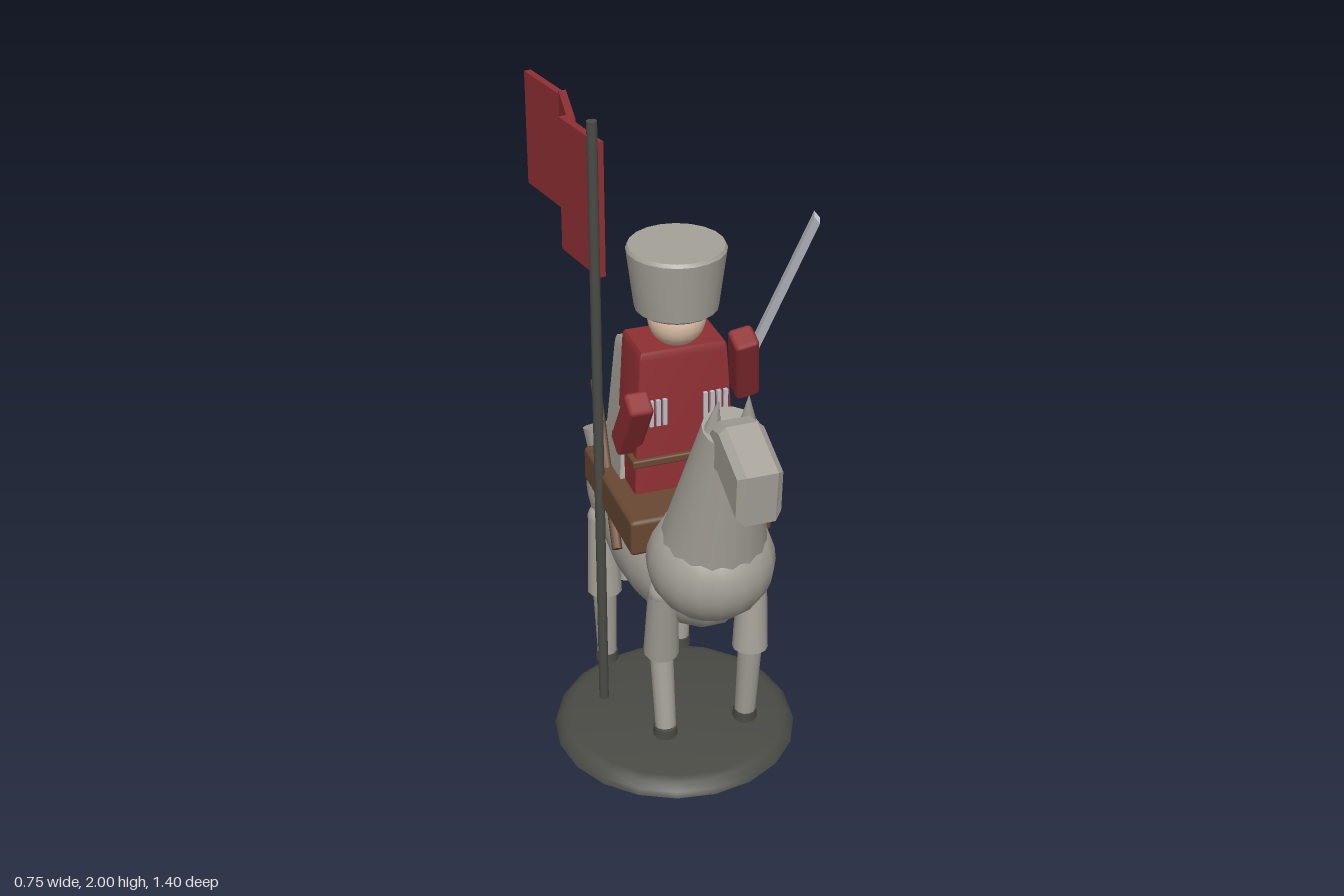
import * as THREE from 'three';
import { toCreasedNormals } from 'three/addons/utils/BufferGeometryUtils.js';
import { RoundedBoxGeometry } from 'three/addons/geometries/RoundedBoxGeometry.js';

const paint = (name, color) => {
  const m = new THREE.MeshStandardMaterial({ color });
  m.name = name;
  return m;
};
const V = (x, y, z) => new THREE.Vector3(x, y, z);
const UP = V(0, 1, 0);

export function createModel() {
  const model = new THREE.Group();
  model.name = 'mountedSoldier';
  const grey = paint('stoneGrey', 0xa5a198);
  const red = paint('coatRed', 0x8f2f33);
  const brown = paint('leatherBrown', 0x684832);
  const dark = paint('darkIron', 0x4a4b45);
  const silver = paint('silver', 0xb9bec6);
  const skin = paint('skin', 0xe3c4ab);

  const add = (name, geo, mat, x = 0, y = 0, z = 0) => {
    const mesh = new THREE.Mesh(geo, mat);
    mesh.name = name;
    mesh.position.set(x, y, z);
    model.add(mesh);
    return mesh;
  };
  // lay a mesh whose length runs along y between two points
  const span = (name, a, b, mat, makeGeo) => {
    const dir = b.clone().sub(a);
    const mesh = add(name, makeGeo(dir.length()), mat);
    mesh.position.copy(a).lerp(b, 0.5);
    mesh.quaternion.setFromUnitVectors(UP, dir.normalize());
    return mesh;
  };
  // tapered rod: radius ra at point a, rb at point b
  const rod = (name, a, b, ra, rb, mat, sides = 12) =>
    span(name, a, b, mat, (h) => new THREE.CylinderGeometry(rb, ra, h, sides));
  const ball = (name, mat, x, y, z, rx, ry, rz) => {
    const mesh = add(name, new THREE.SphereGeometry(1, 18, 14), mat, x, y, z);
    mesh.scale.set(rx, ry, rz);
    return mesh;
  };
  const bevelBox = (w, h, d, r = 0.01) => new RoundedBoxGeometry(w, h, d, 1, r);
  // bevelled box of unit width and depth, shaped by height t (0 bottom, 1 top)
  const taperBox = (h, shape) => {
    const geo = bevelBox(1, h, 1, 0.025);
    const p = geo.attributes.position;
    for (let i = 0; i < p.count; i++) {
      const { halfX, back, front, lift = 0 } = shape(p.getY(i) / h + 0.5);
      const k = p.getZ(i) + 0.5;
      p.setXYZ(i, p.getX(i) * 2 * halfX, p.getY(i) + lift * k, back + (front - back) * k);
    }
    return toCreasedNormals(geo, 0.5);
  };
  const mix = THREE.MathUtils.lerp;

  // base and pole
  const baseProfile = [[0, 0], [0.373, 0], [0.366, 0.018], [0.345, 0.036], [0.32, 0.042], [0, 0.042]];
  const base = new THREE.LatheGeometry(baseProfile.map(([r, y]) => new THREE.Vector2(r, y)), 20);
  add('base', toCreasedNormals(base, 0.7), dark, 0, 0, 0.025);
  rod('pole', V(-0.215, 0.115, -0.02), V(-0.215, 2, -0.02), 0.015, 0.015, dark);

  // flag of three folded panels: [x, z] at both ends, then bottom and top
  [
    [-0.185, -0.05, -0.225, -0.267, 1.53, 1.925],
    [-0.2, -0.26, -0.161, -0.483, 1.542, 1.915],
    [-0.161, -0.48, -0.203, -0.698, 1.555, 1.905],
  ].forEach(([xa, za, xb, zb, lo, hi]) => {
    const length = Math.hypot(xb - xa, zb - za);
    const panel = add('flagPanel', new THREE.BoxGeometry(0.022, hi - lo, length), red,
      (xa + xb) / 2, (lo + hi) / 2, (za + zb) / 2);
    panel.rotation.y = Math.atan2(xa - xb, za - zb);
  });

  // horse body and neck
  ball('barrel', grey, 0, 0.685, 0, 0.19, 0.19, 0.42);
  ball('chest', grey, 0, 0.805, 0.33, 0.182, 0.175, 0.187);
  ball('rump', grey, 0, 0.68, -0.29, 0.167, 0.182, 0.187);
  rod('neck', V(0, 0.77, 0.318), V(0, 1.304, 0.473), 0.17, 0.079, grey, 16);
  rod('mane', V(0, 0.95, 0.23), V(0, 1.16, 0.325), 0.03, 0.012, grey, 6);

  // horse head, a bevelled side profile given as z, y
  const profile = [[0.43, 1.25], [0.5, 1.325], [0.545, 1.335], [0.682, 1.276], [0.676, 1.158], [0.54, 1.22], [0.46, 1.21]];
  const headShape = new THREE.Shape(profile.map(([z, y]) => new THREE.Vector2(-z, y)));
  const headGeo = new THREE.ExtrudeGeometry(headShape, {
    depth: 0.086, bevelThickness: 0.02, bevelSize: 0.018, bevelSegments: 1,
  });
  headGeo.translate(0, 0, -0.043).rotateY(Math.PI / 2);
  add('horseHead', headGeo, grey);

  // legs and ears, mirrored with a small change of knee position
  for (const s of [1, -1]) {
    rod('ear', V(s * 0.05, 1.3, 0.465), V(s * 0.042, 1.4, 0.488), 0.025, 0.001, grey, 8);

    const frontKnee = V(s * 0.125, 0.47, s > 0 ? 0.33 : 0.265);
    const frontFoot = V(s * 0.125, 0.225, 0.303);
    const shoulder = V(s * 0.135, 0.71, 0.31);
    rod('frontUpperLeg', shoulder, frontKnee, 0.042, 0.052, grey);
    ball('shoulder', grey, shoulder.x, shoulder.y, shoulder.z, 0.042, 0.042, 0.042);
    rod('frontLowerLeg', frontKnee, frontFoot, 0.035, 0.031, grey);
    rod('frontHoof', frontFoot, V(s * 0.125, 0.195, 0.3), 0.034, 0.037, dark);

    const rearKnee = V(s * 0.13, 0.335, s > 0 ? -0.293 : -0.27);
    const rearFoot = V(s * 0.123, 0.09, -0.281);
    const hip = V(s * 0.13, 0.6, -0.28);
    rod('rearUpperLeg', hip, rearKnee, 0.046, 0.055, grey);
    ball('hip', grey, hip.x, hip.y, hip.z, 0.046, 0.046, 0.046);
    rod('rearLowerLeg', rearKnee, rearFoot, 0.038, 0.031, grey);
    rod('rearHoof', rearFoot, V(s * 0.123, 0.058, -0.282), 0.034, 0.037, dark);
  }
  rod('tail', V(0, 0.255, -0.413), V(0, 0.725, -0.605), 0.036, 0.088, grey, 16);

  // saddle and scabbard
  add('saddle', bevelBox(0.424, 0.112, 0.45, 0.012), brown, 0, 0.865, 0.038);
  rod('scabbard', V(-0.205, 0.74, 0.11), V(-0.155, 1.105, -0.24), 0.015, 0.015, brown, 10);

  // rider coat, belt and cape
  const coat = taperBox(0.475, (t) => ({ halfX: mix(0.155, 0.127, t), back: -0.06, front: mix(0.125, 0.1, t) }));
  add('coat', coat, red, 0, 1.1175, 0);
  add('belt', bevelBox(0.32, 0.024, 0.2, 0.005), brown, 0, 1.02, 0.03);
  const cape = taperBox(0.385, (t) => ({
    halfX: mix(0.17, 0.115, t), back: mix(-0.13, -0.165, t), front: mix(0.035, -0.07, t), lift: 0.028 * t,
  }));
  add('cape', cape, grey, 0, 1.0925, 0);

  // silver bars on the coat front
  for (const s of [1, -1]) {
    for (let i = 0; i < 4; i++) {
      add('coatBar', new THREE.BoxGeometry(0.012, 0.08, 0.014), silver, s * (0.06 + i * 0.02), 1.17, 0.112);
    }
  }

  // rider head and tall hat
  ball('riderHead', skin, 0, 1.425, 0.04, 0.083, 0.085, 0.083);
  const hatProfile = [[0, 1.45], [0.108, 1.45], [0.118, 1.458], [0.14, 1.632], [0.134, 1.642], [0, 1.642]];
  const hat = new THREE.LatheGeometry(hatProfile.map(([r, y]) => new THREE.Vector2(r, y)), 20);
  add('hat', toCreasedNormals(hat, 0.6), grey, 0, 0, 0.038);

  // arms and raised sword
  const sleeve = (h) => bevelBox(0.072, h, 0.075, 0.012);
  span('leftArm', V(0.2, 1.165, 0.05), V(0.158, 1.385, 0.145), red, sleeve);
  span('rightArm', V(-0.16, 1.055, 0.06), V(-0.155, 1.25, 0.175), red, sleeve);
  const sword = span('sword', V(0.188, 1.28, 0.1), V(0.293, 1.79, 0.307), silver,
    (h) => toCreasedNormals(new THREE.CylinderGeometry(0.024, 0.026, h, 4), 0.3));
  sword.scale.x = 0.32;

  return model;
}
